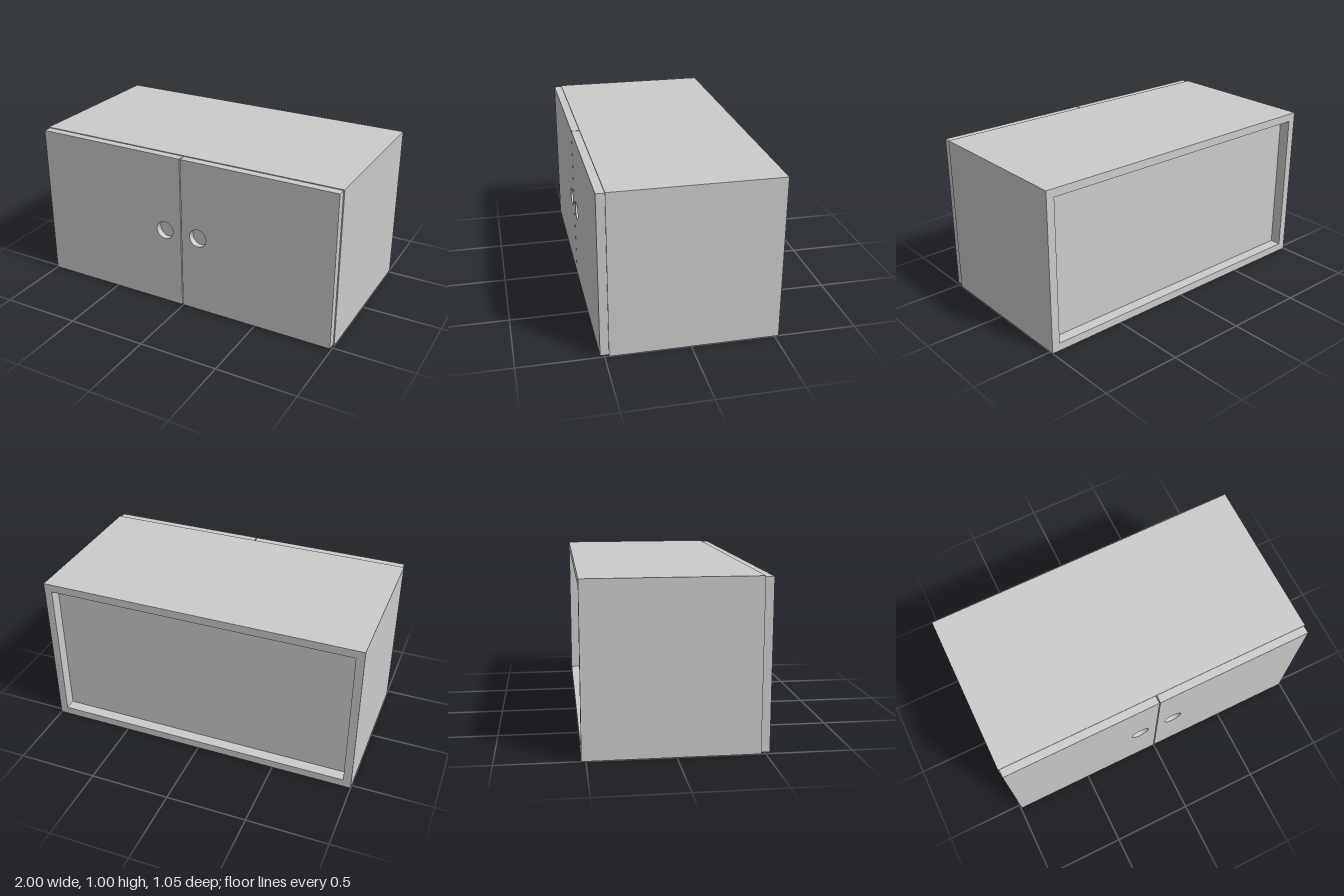
import * as THREE from 'three';

const grey = new THREE.MeshStandardMaterial({ color: 0xcccccc });

// Box given by its lower and upper corners
function addBox(parent, name, [x0, y0, z0], [x1, y1, z1]) {
  const mesh = new THREE.Mesh(new THREE.BoxGeometry(x1 - x0, y1 - y0, z1 - z0), grey);
  mesh.position.set((x0 + x1) / 2, (y0 + y1) / 2, (z0 + z1) / 2);
  mesh.name = name;
  parent.add(mesh);
}

// Slab with a round opening, extruded towards +z
function rectWithHole(x0, y0, x1, y1, holeX, holeY, radius, depth) {
  const shape = new THREE.Shape();
  shape.moveTo(x0, y0).lineTo(x1, y0).lineTo(x1, y1).lineTo(x0, y1).closePath();
  const hole = new THREE.Path();
  hole.absarc(holeX, holeY, radius, 0, Math.PI * 2, true);
  shape.holes.push(hole);
  return new THREE.ExtrudeGeometry(shape, { depth, bevelEnabled: false, curveSegments: 32 });
}

export function createModel() {
  const model = new THREE.Group();
  model.name = 'cabinet';

  const back = -0.525, front = 0.475, doorFront = 0.525, t = 0.05;

  // Carcass: top, bottom, two sides and an inset back
  const carcass = new THREE.Group();
  carcass.name = 'carcass';
  model.add(carcass);
  addBox(carcass, 'bottomPanel', [-1, 0, back], [1, t, front]);
  addBox(carcass, 'topPanel', [-1, 1 - t, back], [1, 1, front]);
  addBox(carcass, 'rightPanel', [-1, t, back], [-1 + t, 1 - t, front]);
  addBox(carcass, 'leftPanel', [1 - t, t, back], [1, 1 - t, front]);
  addBox(carcass, 'backPanel', [-1 + t, t, back + 0.07], [1 - t, 1 - t, back + 0.1]);

  // Mirrored doors, each with a round finger pull sunk into its face
  const pullDepth = 0.04, y0 = 0.007, y1 = 0.995;
  for (const [side, name] of [[-1, 'rightDoor'], [1, 'leftDoor']]) {
    const door = new THREE.Group();
    door.name = name;
    const xs = [side * 0.003, side * 0.993].sort((a, b) => a - b);
    const face = new THREE.Mesh(
      rectWithHole(xs[0], y0, xs[1], y1, side * 0.115, 0.505, 0.057, pullDepth), grey);
    face.position.z = doorFront - pullDepth;
    face.name = 'doorFace';
    door.add(face);
    addBox(door, 'doorBacking', [xs[0], y0, front], [xs[1], y1, doorFront - pullDepth]);
    model.add(door);
  }

  return model;
}
